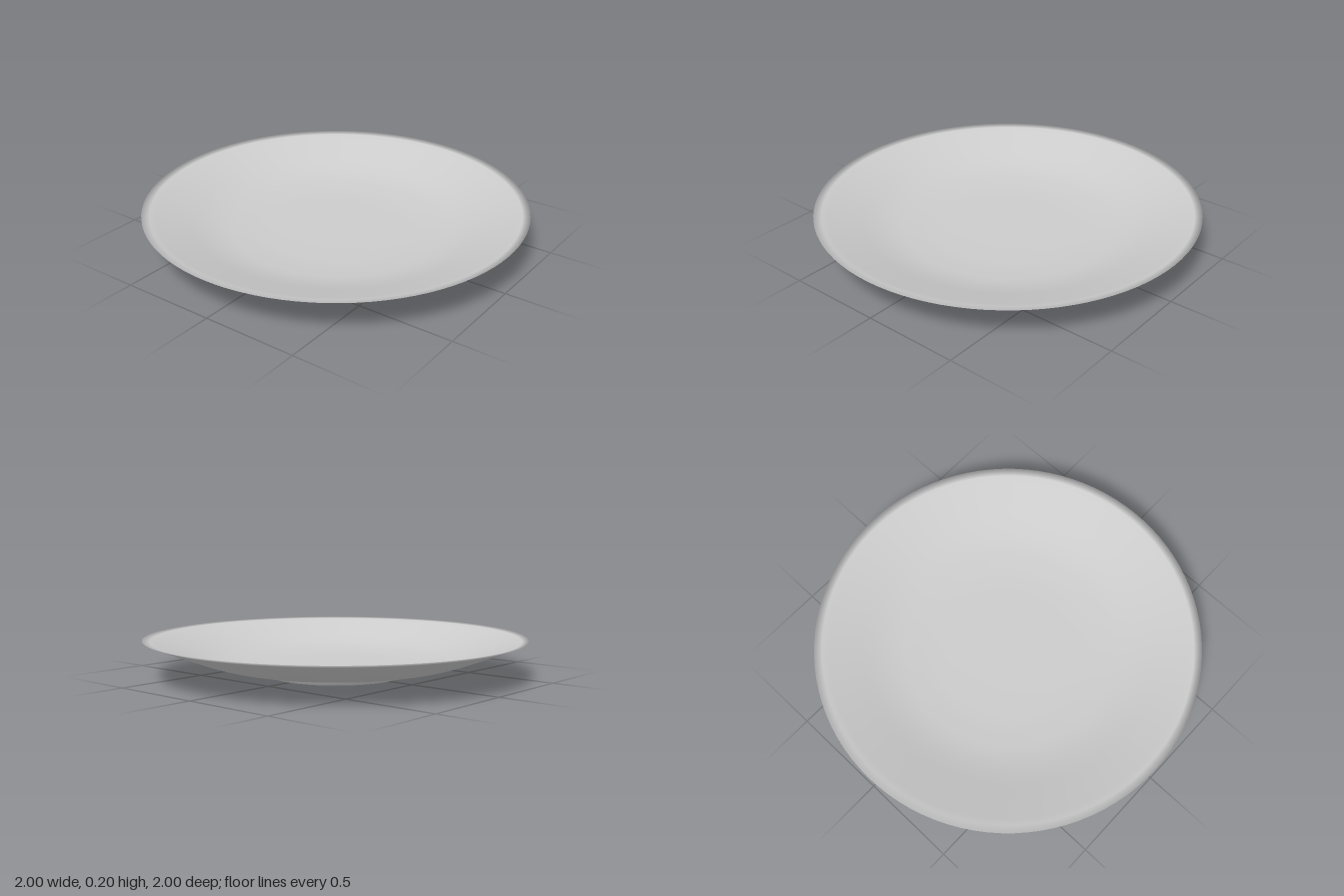
import * as THREE from 'three';

const curve = (points, n) =>
  new THREE.SplineCurve(points.map(([r, y]) => new THREE.Vector2(r, y))).getPoints(n);

export function createModel() {
  const group = new THREE.Group();
  group.name = 'saucer';
  const material = new THREE.MeshStandardMaterial({ color: 0xcccccc });

  // Underside: recessed base, then the tapered foot ring
  const foot = [[0, 0.03], [0.3, 0.03], [0.335, 0.028], [0.348, 0], [0.356, 0], [0.368, 0.026]]
    .map(([r, y]) => new THREE.Vector2(r, y));
  // Outer wall sweeping up towards the rim
  const outer = curve([[0.374, 0.03], [0.5, 0.043], [0.6, 0.058], [0.7, 0.086], [0.82, 0.13], [0.96, 0.184]], 18);
  // Thin rim edge
  const rim = [new THREE.Vector2(1, 0.2)];
  // Inner wall running down to the shallow floor
  const inner = curve([[0.96, 0.193], [0.82, 0.144], [0.7, 0.102], [0.6, 0.076], [0.5, 0.063], [0.36, 0.053], [0, 0.05]], 20);

  const plate = new THREE.Mesh(
    new THREE.LatheGeometry([...foot, ...outer, ...rim, ...inner], 96), material);
  plate.name = 'plate';
  group.add(plate);
  return group;
}
